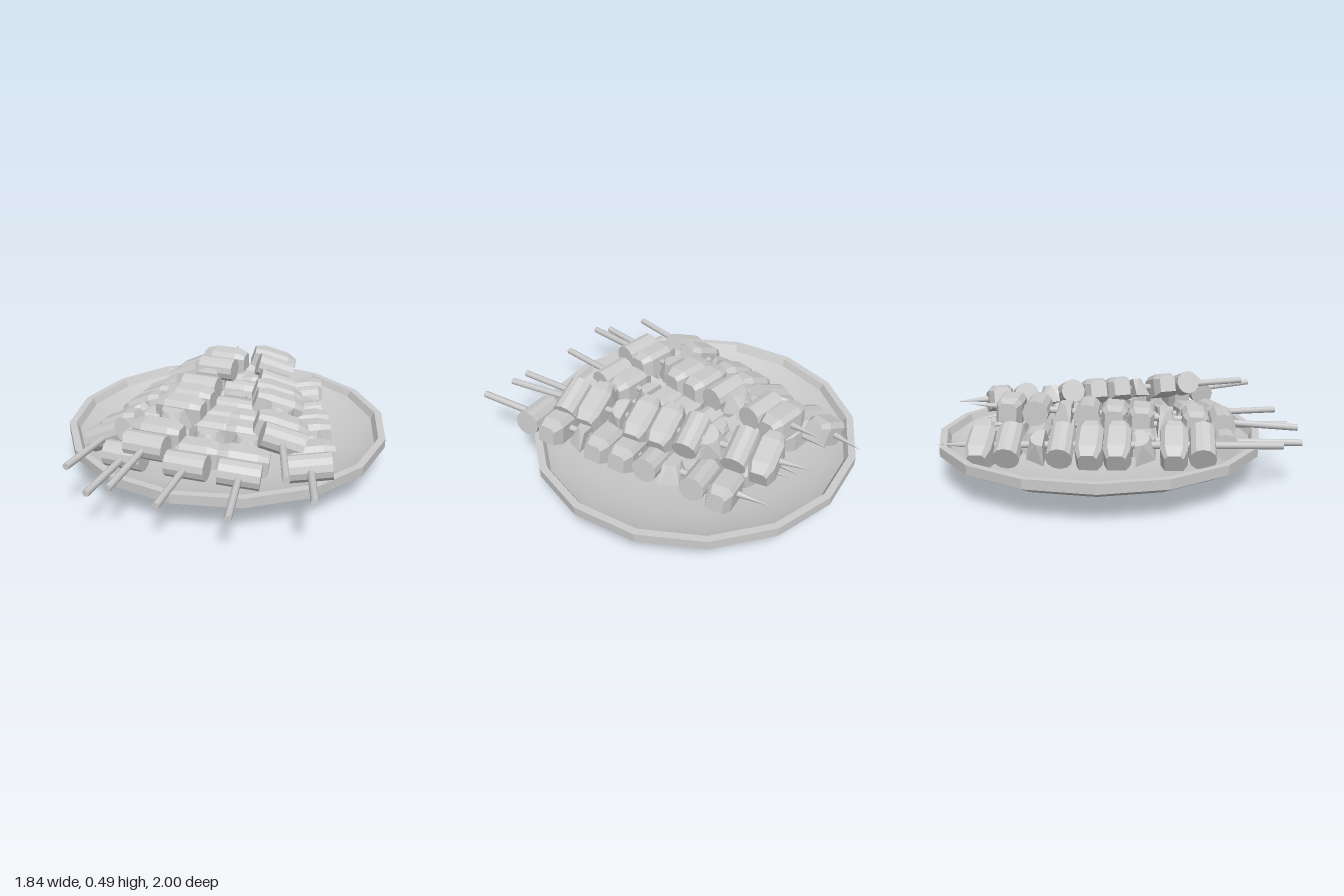
import * as THREE from 'three';
import { ConvexGeometry } from 'three/addons/geometries/ConvexGeometry.js';

const smooth = new THREE.MeshStandardMaterial({ color: 0xcccccc });
const flat = new THREE.MeshStandardMaterial({ color: 0xcccccc, flatShading: true });

function add(parent, name, geometry, material, x = 0, y = 0, z = 0) {
  const mesh = new THREE.Mesh(geometry, material);
  mesh.name = name;
  mesh.position.set(x, y, z);
  parent.add(mesh);
  return mesh;
}

// Meat chunk: box bulging in the middle, with tapered ends and a bevelled top
function chunkGeometry() {
  const points = [];
  for (const [x, h, d] of [[0.135, 0.05, 0.048], [0.075, 0.068, 0.07]]) {
    for (const sx of [-1, 1]) for (const sz of [-1, 1]) {
      points.push(new THREE.Vector3(sx * x, -h, sz * d));
      points.push(new THREE.Vector3(sx * x, h * 0.6, sz * d));
      points.push(new THREE.Vector3(sx * x, h, sz * d * 0.65));
    }
  }
  return new ConvexGeometry(points);
}

// Vegetable wedge: half of a faceted dome, flat on its wide side
function wedgeGeometry() {
  const points = [];
  for (const [y, r, n] of [[0.05, 0.065, 6], [-0.055, 0.105, 3]]) {
    for (let i = 0; i <= n; i++) {
      const a = (i / n) * Math.PI;
      points.push(new THREE.Vector3(Math.cos(a) * r, y, Math.sin(a) * r * 1.1 - 0.05));
    }
  }
  return new ConvexGeometry(points);
}

function makePlate() {
  const plate = new THREE.Group();
  plate.name = 'plate';
  const lathe = (name, profile, material) =>
    add(plate, name, new THREE.LatheGeometry(profile.map(p => new THREE.Vector2(...p)), 16), material);
  lathe('plateUnderside', [[0, 0], [0.25, 0.008], [0.48, 0.035], [0.68, 0.075], [0.83, 0.125], [0.92, 0.17]], smooth);
  lathe('plateRim', [[0.92, 0.17], [0.92, 0.222], [0.88, 0.222], [0.86, 0.185]], flat);
  lathe('plateInside', [[0.86, 0.185], [0.78, 0.145], [0.64, 0.1], [0.45, 0.062], [0.24, 0.04], [0, 0.035]], smooth);
  plate.position.z = -0.08;
  return plate;
}

const chunk = chunkGeometry();
const wedge = wedgeGeometry();
const roundPiece = new THREE.CylinderGeometry(0.07, 0.07, 0.215, 12).rotateZ(Math.PI / 2);

// Pieces by distance from the pointed end
const pieces = [
  ['chunk', 0.24], ['round', 0.385], ['wedgeBack', 0.525], ['round', 0.66], ['chunk', 0.81],
  ['chunk', 0.955], ['wedgeFront', 1.1], ['chunk', 1.245], ['round', 1.39],
];

// Skewer from its tip to its handle end, rolled about its own length
function makeSkewer(name, tip, handle, roll) {
  const skewer = new THREE.Group();
  skewer.name = name;
  const dir = new THREE.Vector3(...handle).sub(new THREE.Vector3(...tip));
  const length = dir.length();
  skewer.position.set(...tip);
  skewer.rotation.set(-Math.asin(dir.y / length), Math.atan2(dir.x, dir.z), roll, 'YXZ');

  const point = 0.18;
  add(skewer, 'stick', new THREE.CylinderGeometry(0.019, 0.019, length - point, 8).rotateX(Math.PI / 2),
    smooth, 0, 0, (length + point) / 2);
  add(skewer, 'stickPoint', new THREE.ConeGeometry(0.019, point, 8).rotateX(-Math.PI / 2), smooth, 0, 0, point / 2);

  for (const [kind, z] of pieces) {
    if (kind === 'chunk') add(skewer, 'meatChunk', chunk, flat, 0, 0, z);
    else if (kind === 'round') add(skewer, 'roundPiece', roundPiece, flat, 0, 0, z);
    else {
      const mesh = add(skewer, 'vegetableWedge', wedge, flat, 0, 0, z);
      if (kind === 'wedgeBack') mesh.rotation.y = Math.PI;
    }
  }
  return skewer;
}

export function createModel() {
  const model = new THREE.Group();
  model.name = 'plateOfSkewers';
  model.add(makePlate());

  // Tip, handle end, roll
  const skewers = [
    ['outerRightSkewer', [-0.39, 0.25, -0.93], [-0.54, 0.29, 0.86], 0.46],
    ['lowerRightSkewer', [-0.28, 0.25, -0.8], [-0.36, 0.25, 1.0], 0],
    ['upperRightSkewer', [-0.15, 0.41, -0.8], [-0.24, 0.3, 1.0], 0],
    ['middleSkewer', [0, 0.25, -0.8], [0, 0.25, 1.0], 0],
    ['lowerLeftSkewer', [0.05, 0.25, -0.78], [0.35, 0.25, 1.0], -0.1],
    ['upperLeftSkewer', [0.05, 0.375, -0.9], [0.57, 0.39, 0.82], -0.33],
    ['outerLeftSkewer', [0.26, 0.22, -0.8], [0.72, 0.345, 0.89], 0.12],
  ];
  for (const s of skewers) model.add(makeSkewer(...s));
  return model;
}
